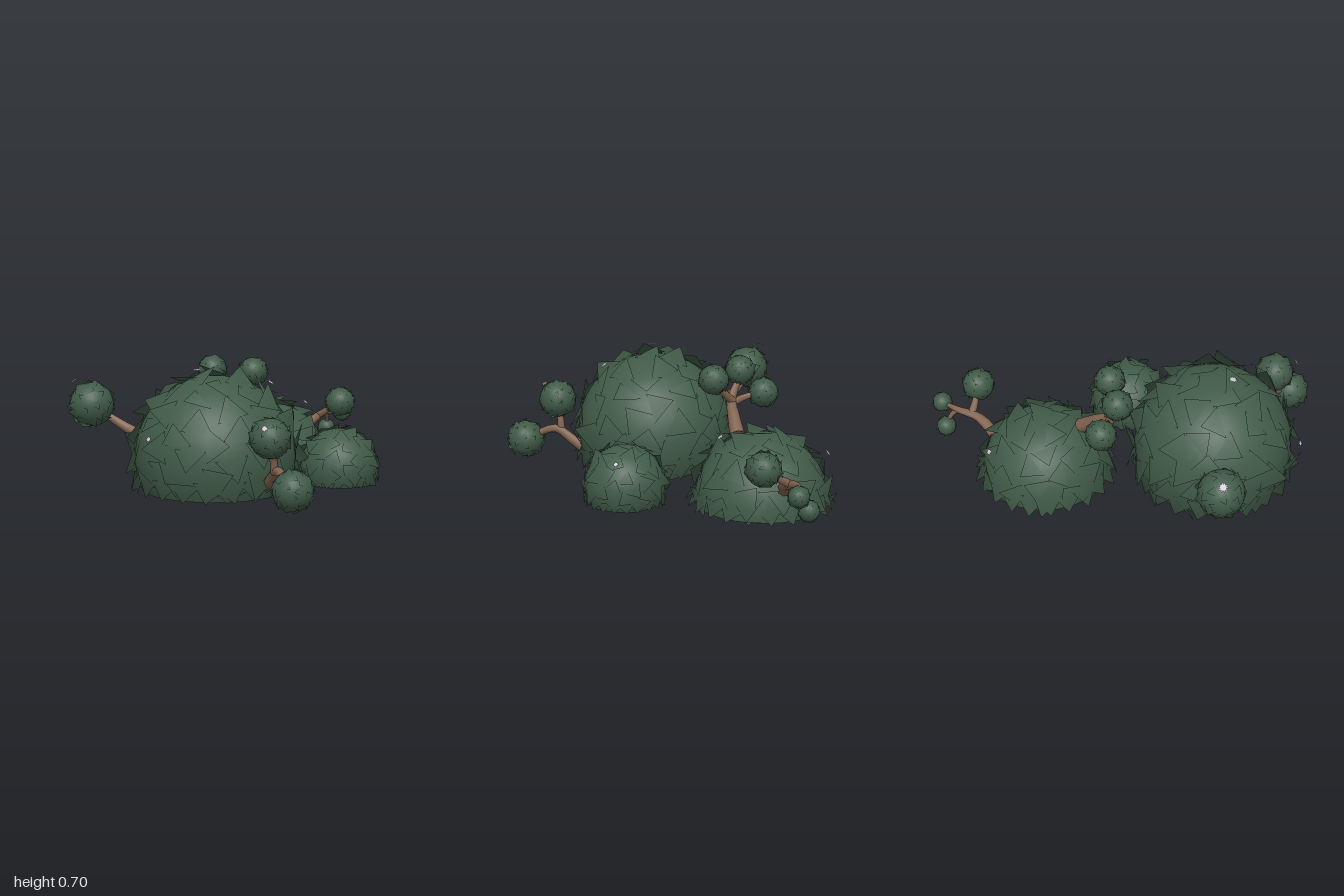
import * as THREE from 'three';

const leafMat = new THREE.MeshStandardMaterial({ color: 0x415b48, side: THREE.DoubleSide });
leafMat.name = 'foliage green';
const barkMat = new THREE.MeshStandardMaterial({ color: 0x82634f });
barkMat.name = 'bark brown';
const petalMat = new THREE.MeshStandardMaterial({ color: 0xc8c6d0, side: THREE.DoubleSide });
petalMat.name = 'petal grey';

const V = (x, y, z) => new THREE.Vector3(x, y, z);

function seeded(seed) {
  return () => {
    seed = (seed * 16807) % 2147483647;
    return seed / 2147483647;
  };
}

function add(parent, name, geometry, material) {
  const mesh = new THREE.Mesh(geometry, material);
  mesh.name = name;
  parent.add(mesh);
  return mesh;
}

// Broad overlapping leaf points over a ball, lifting outwards at their tips,
// with a ring of downward points around the rim of a cut dome
function leafPoints(r, count, floor, seed) {
  const rnd = seeded(seed), pos = [], nor = [];
  const spacing = Math.sqrt((4 * Math.PI) / count);

  function leaf(y, a, turn, reach) {
    const s = Math.sqrt(1 - y * y);
    const n = V(Math.cos(a) * s, y, Math.sin(a) * s);
    const side = V(0, 1, 0).cross(n).normalize();
    const along = side.clone().cross(n).applyAxisAngle(n, turn);
    const across = n.clone().cross(along);
    const back = n.clone().addScaledVector(along, -spacing * 0.3);
    const place = (v, k) => v.normalize().multiplyScalar(r * k);
    const corners = [
      place(back.clone().addScaledVector(across, spacing * 0.6), 1.02),
      place(back.clone().addScaledVector(across, -spacing * 0.6), 1.02),
      place(n.clone().addScaledVector(along, reach), 1.12 + rnd() * 0.05),
    ];
    // Keep the corners facing outwards
    const face = corners[1].clone().sub(corners[0]).cross(corners[2].clone().sub(corners[0]));
    if (face.dot(n) < 0) [corners[0], corners[1]] = [corners[1], corners[0]];
    for (const c of corners) {
      nor.push(...c.clone().normalize().toArray());
      pos.push(c.x, Math.max(c.y, floor), c.z);
    }
  }

  for (let i = 0; i < count; i++) {
    const y = 1 - (2 * (i + 0.5)) / count;
    if (y * r < floor) break;
    leaf(y, i * 2.39996 + rnd() * 0.2, rnd() * Math.PI * 2, spacing * (0.35 + rnd() * 0.2));
  }
  const rim = floor > -r ? 22 : 0;
  for (let i = 0; i < rim; i++) leaf(floor / r + 0.12, (i / rim) * Math.PI * 2, (rnd() - 0.5) * 0.5, 0.14);

  const g = new THREE.BufferGeometry();
  g.setAttribute('position', new THREE.Float32BufferAttribute(pos, 3));
  g.setAttribute('normal', new THREE.Float32BufferAttribute(nor, 3));
  return g;
}

// Rounded foliage; a floor height cuts it into an open dome
function foliage(parent, name, center, r, count, seed, floorY = -Infinity) {
  const group = new THREE.Group();
  group.name = name;
  group.position.copy(center);
  const floor = floorY - center.y;
  const theta = floor > -r ? Math.acos(floor / r) : Math.PI;
  add(group, 'crown', new THREE.SphereGeometry(r, 28, 16, 0, Math.PI * 2, 0, theta), leafMat);
  add(group, 'leafPoints', leafPoints(r, count, floor, seed), leafMat);
  parent.add(group);
}

// Tapered branch following a curve, with a cap on its thick end
function branch(parent, points, r0, r1) {
  const path = new THREE.CatmullRomCurve3(points.map((p) => V(...p)));
  const rings = 10, sides = 8;
  const g = new THREE.TubeGeometry(path, rings, r0, sides);
  const p = g.attributes.position, v = V(0, 0, 0);
  for (let i = 0; i < p.count; i++) {
    const t = Math.floor(i / (sides + 1)) / rings;
    const c = path.getPointAt(t);
    v.fromBufferAttribute(p, i).sub(c).multiplyScalar(1 + (r1 / r0 - 1) * t).add(c);
    p.setXYZ(i, v.x, v.y, v.z);
  }
  add(parent, 'branch', g, barkMat);
  const cap = add(parent, 'branchEnd', new THREE.CircleGeometry(r0, sides), barkMat);
  cap.position.copy(path.getPointAt(0));
  cap.lookAt(cap.position.clone().sub(path.getTangentAt(0)));
}

// Small pointed flower facing along a direction
function flower(parent, at, facing, r = 0.033) {
  const shape = new THREE.Shape();
  const n = 20;
  for (let i = 0; i < n; i++) {
    const a = (i / n) * Math.PI * 2, q = i % 2 ? r * 0.5 : r;
    shape[i ? 'lineTo' : 'moveTo'](Math.cos(a) * q, Math.sin(a) * q);
  }
  const m = add(parent, 'flower', new THREE.ShapeGeometry(shape), petalMat);
  m.position.set(...at);
  m.lookAt(m.position.clone().add(V(...facing)));
}

export function createModel() {
  const model = new THREE.Group();
  model.name = 'bushCluster';

  // Three main bushes, open underneath
  foliage(model, 'largeBush', V(-0.28, 0.2, 0.135), 0.44, 110, 11, 0.02);
  foliage(model, 'backBush', V(0.315, 0.025, -0.595), 0.355, 100, 23, 0);
  foliage(model, 'smallBush', V(0.465, 0.09, 0.12), 0.217, 90, 37, 0);

  // Leaf balls: x, y, z, radius
  [
    [-0.855, 0.455, -0.315, 0.122],
    [-0.18, 0.37, 0.69, 0.104],
    [-0.13, 0.13, 0.875, 0.104],
    [0.1, 0.605, -0.29, 0.081],
    [-0.11, 0.615, -0.4, 0.081],
    [-0.13, 0.49, -0.53, 0.081],
    [0.835, 0.345, -0.685, 0.088],
    [0.845, 0.15, -0.915, 0.054],
    [0.935, 0.25, -0.875, 0.054],
  ].forEach(([x, y, z, r], i) => foliage(model, 'leafBall', V(x, y, z), r, 46, 101 + i * 17));

  // Branch to the right leaf ball
  branch(model, [[-0.54, 0.24, -0.07], [-0.67, 0.32, -0.24], [-0.81, 0.42, -0.33]], 0.042, 0.018);
  // Forked branch at the front
  branch(model, [[-0.13, 0.08, 0.5], [-0.13, 0.15, 0.6], [-0.14, 0.2, 0.69], [-0.13, 0.15, 0.84]], 0.034, 0.018);
  branch(model, [[-0.14, 0.18, 0.66], [-0.15, 0.24, 0.665], [-0.18, 0.34, 0.69]], 0.024, 0.016);
  // Forked branch above the back bush
  branch(model, [[0.18, 0.32, -0.44], [0.08, 0.4, -0.4], [-0.02, 0.47, -0.37], [-0.1, 0.58, -0.4]], 0.042, 0.018);
  branch(model, [[0.0, 0.46, -0.38], [0.05, 0.52, -0.34], [0.1, 0.59, -0.3]], 0.024, 0.015);
  branch(model, [[0.0, 0.45, -0.37], [-0.07, 0.47, -0.43], [-0.12, 0.49, -0.51]], 0.024, 0.015);
  // Forked branch at the back left
  branch(model, [[0.56, 0.15, -0.75], [0.7, 0.23, -0.78], [0.8, 0.26, -0.85], [0.91, 0.25, -0.87]], 0.038, 0.012);
  branch(model, [[0.74, 0.25, -0.8], [0.77, 0.28, -0.76], [0.82, 0.33, -0.7]], 0.024, 0.014);
  branch(model, [[0.81, 0.255, -0.85], [0.835, 0.22, -0.88], [0.84, 0.17, -0.91]], 0.016, 0.01);

  // Flowers: position, facing
  [
    [[-0.39, 0.68, 0.17], [-0.1, 1, 0.05]],
    [[-0.05, 0.62, 0.37], [0.4, 1, 0.5], 0.023],
    [[-0.73, 0.35, 0.37], [-1, 0.5, 0.5], 0.023],
    [[-0.94, 0.585, -0.38], [-0.5, 1, -0.5]],
    [[0.33, 0.3, -0.95], [0, 0.8, -1], 0.025],
    [[0.48, 0.395, -0.4], [0.4, 1, 0.5], 0.023],
    [[0.65, 0.26, 0.12], [1, 0.8, 0], 0.02],
    [[-0.25, 0.44, 0.79], [-0.5, 0.5, 0.6], 0.025],
    [[-0.03, 0.1, 0.94], [1, -0.3, 0.6], 0.015],
  ].forEach((f) => flower(model, ...f));

  return model;
}
